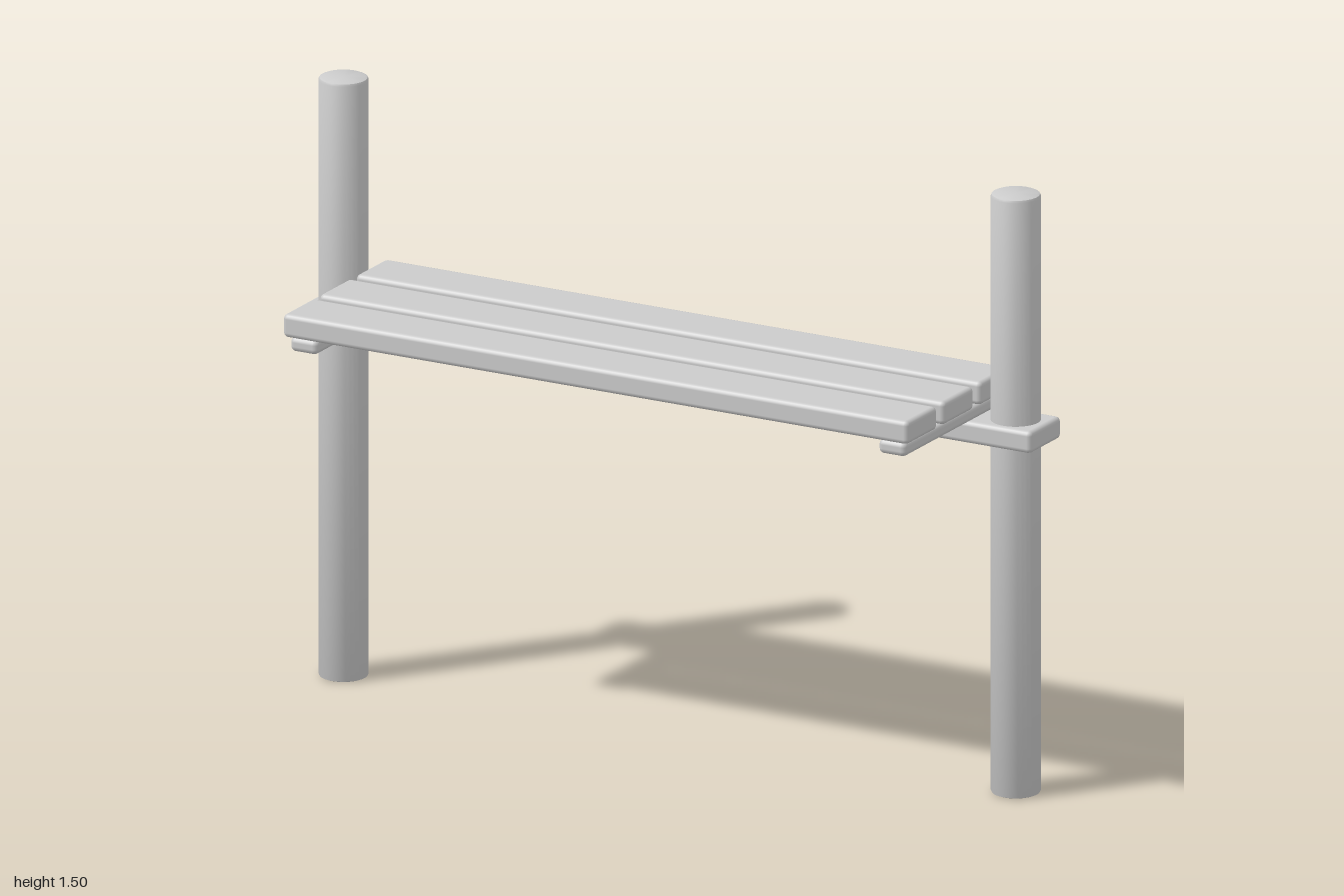
import * as THREE from 'three';
import { RoundedBoxGeometry } from 'three/addons/geometries/RoundedBoxGeometry.js';
import { toCreasedNormals } from 'three/addons/utils/BufferGeometryUtils.js';

export function createModel() {
  const group = new THREE.Group();
  const material = new THREE.MeshStandardMaterial({ color: 0xcccccc });

  // Timber with softened edges, given by its extents on each axis
  function timber(name, [x0, x1], [y0, y1], [z0, z1], bevel) {
    const geometry = new RoundedBoxGeometry(x1 - x0, y1 - y0, z1 - z0, 2, bevel);
    const mesh = new THREE.Mesh(geometry, material);
    mesh.name = name;
    mesh.position.set((x0 + x1) / 2, (y0 + y1) / 2, (z0 + z1) / 2);
    group.add(mesh);
  }

  // Round posts with slightly eased ends
  const height = 1.495, radius = 0.06, ease = 0.008;
  const profile = [
    [0, 0], [radius - ease, 0], [radius - ease * 0.3, ease * 0.3], [radius, ease],
    [radius, height - ease], [radius - ease * 0.3, height - ease * 0.3],
    [radius - ease, height], [0, height],
  ].map(([x, y]) => new THREE.Vector2(x, y));
  const postGeometry = toCreasedNormals(new THREE.LatheGeometry(profile, 32), 0.6);
  for (const [name, side] of [['leftPost', 1], ['rightPost', -1]]) {
    const post = new THREE.Mesh(postGeometry, material);
    post.name = name;
    post.position.set(side * 0.917, 0, -0.16);
    group.add(post);
  }

  // Cross beam joining the posts
  timber('crossBeam', [-1, 1], [0.875, 0.93], [-0.235, -0.085], 0.012);

  // Cleats resting on the beam and carrying the slats
  timber('leftCleat', [0.765, 0.84], [0.932, 0.968], [-0.215, 0.238], 0.013);
  timber('rightCleat', [-0.84, -0.765], [0.932, 0.968], [-0.215, 0.238], 0.013);

  // Three slats of the top
  ['back', 'middle', 'front'].forEach((place, i) => {
    const z = (i - 1) * 0.176;
    timber(place + 'Slat', [-0.853, 0.853], [0.968, 1.026], [z - 0.073, z + 0.073], 0.012);
  });

  return group;
}
